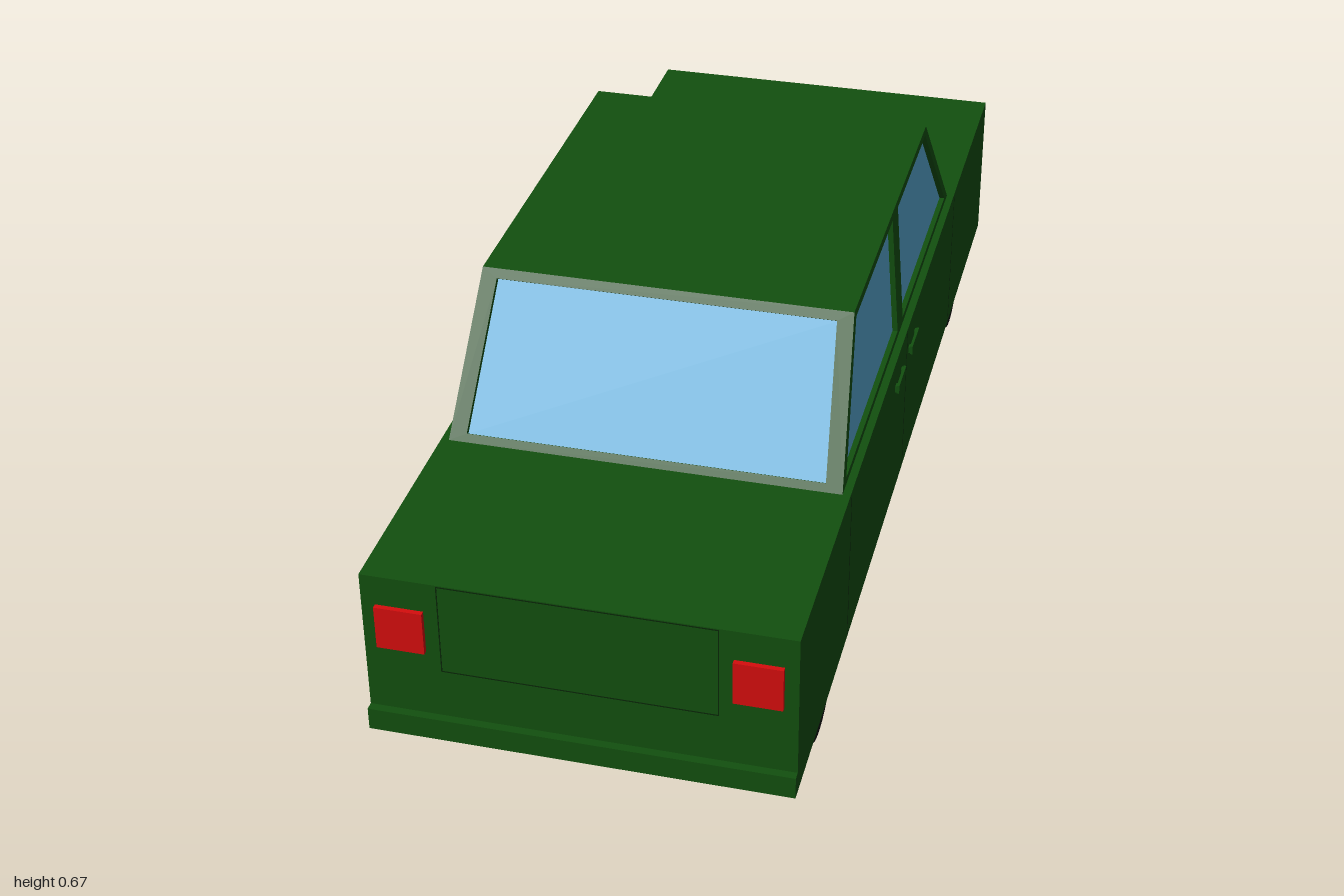
import * as THREE from 'three';

const mat = (color) => new THREE.MeshStandardMaterial({ color });
const paint = mat(0x12500f), glassMat = mat(0x5aabd6), seamMat = mat(0x082606);
const red = mat(0xd60d0d), yellow = mat(0xa39c28), rubber = mat(0x111111);

const BELT = 0.407, ROOF = 0.667;

export function createModel() {
  const car = new THREE.Group();
  car.name = 'car';

  const add = (name, geometry, material, parent = car) => {
    const mesh = new THREE.Mesh(geometry, material);
    mesh.name = name;
    parent.add(mesh);
    return mesh;
  };
  // box given by its extents on each axis
  const box = (name, material, [x0, x1], [y0, y1], [z0, z1]) => {
    const mesh = add(name, new THREE.BoxGeometry(x1 - x0, y1 - y0, z1 - z0), material);
    mesh.position.set((x0 + x1) / 2, (y0 + y1) / 2, (z0 + z1) / 2);
    return mesh;
  };

  // Lower body, bumper and roof
  box('body', paint, [-0.367, 0.367], [0.095, BELT], [-0.985, 0.985]);
  box('bumper', paint, [-0.367, 0.367], [0.095, 0.137], [0.98, 1]);
  box('roof', paint, [-0.333, 0.333], [0.655, ROOF], [-0.32, 0.41]);

  // Sloped cabin wall with inset glass; points are [horizontal, world height]
  function cabinWall(name, out, bottom, top, outer, windows) {
    const rise = ROOF - BELT;
    const stretch = Math.hypot(rise, top - bottom) / rise;
    const up = out.clone().multiplyScalar(top - bottom).setY(rise).normalize();
    const right = new THREE.Vector3(0, 1, 0).cross(out);
    const normal = right.clone().cross(up);
    const toPoints = (list) => list.map(([h, y]) => new THREE.Vector2(h, (y - BELT) * stretch));

    const wall = new THREE.Group();
    wall.name = name;
    wall.applyMatrix4(new THREE.Matrix4().makeBasis(right, up, normal));
    wall.position.copy(out).multiplyScalar(bottom).setY(BELT);
    car.add(wall);

    const shape = new THREE.Shape(toPoints(outer));
    for (const w of windows) shape.holes.push(new THREE.Path(toPoints(w)));
    const frame = new THREE.ExtrudeGeometry(shape, { depth: 0.018, bevelEnabled: false });
    add(name + 'Frame', frame.translate(0, 0, -0.018), paint, wall);
    for (const w of windows) {
      const pane = new THREE.ShapeGeometry(new THREE.Shape(toPoints(w)));
      add(name + 'Glass', pane.translate(0, 0, -0.01), glassMat, wall);
    }
  }

  // End windscreens
  const endOuter = [[-0.353, BELT], [0.353, BELT], [0.333, ROOF], [-0.333, ROOF]];
  const endGlass = [[-0.322, 0.42], [0.322, 0.42], [0.305, 0.652], [-0.305, 0.652]];
  cabinWall('frontScreen', new THREE.Vector3(0, 0, 1), 0.58, 0.41, endOuter, [endGlass]);
  cabinWall('backScreen', new THREE.Vector3(0, 0, -1), 0.53, 0.32, endOuter, [endGlass]);

  // Left and right sides, outlined along z
  const sideOuter = [[0.58, BELT], [-0.53, BELT], [-0.32, ROOF], [0.41, ROOF]];
  const sideWindows = [
    [[0.545, 0.418], [0.048, 0.418], [0.048, 0.652], [0.397, 0.652]],
    [[-0.006, 0.418], [-0.497, 0.418], [-0.308, 0.652], [-0.006, 0.652]],
  ];
  for (const s of [1, -1]) {
    const flip = (list) => list.map(([z, y]) => [-s * z, y]);
    cabinWall(s > 0 ? 'leftSide' : 'rightSide', new THREE.Vector3(s, 0, 0), 0.353, 0.333,
      flip(sideOuter), sideWindows.map(flip));
  }

  for (const s of [1, -1]) {
    const side = s > 0 ? 'left' : 'right';
    const span = (a, b) => (s > 0 ? [a, b] : [-b, -a]);

    // Lamps
    box(side + 'RedLamp', red, span(0.26, 0.343), [0.268, 0.35], [0.98, 0.994]);
    box(side + 'YellowLamp', yellow, span(0.257, 0.33), [0.275, 0.358], [-1, -0.98]);

    // Door handles: a grip on two short posts
    for (const z of [0.07, -0.073]) {
      box(side + 'Handle', paint, span(0.37, 0.375), [0.341, 0.358], [z, z + 0.073]);
      for (const p of [z, z + 0.061]) {
        box(side + 'HandlePost', paint, span(0.36, 0.372), [0.343, 0.356], [p, p + 0.012]);
      }
    }

    // Door seams
    for (const z of [0.57, 0.02, -0.54]) {
      box(side + 'DoorSeam', seamMat, span(0.36, 0.3675), [0.1, 0.405], [z - 0.0015, z + 0.0015]);
    }
    // Upright edges of the end lid
    box(side + 'LidSeam', seamMat, span(0.234, 0.236), [0.231, 0.405], [0.98, 0.9855]);

    // Wheels
    for (const z of [0.715, -0.705]) {
      const tyre = new THREE.CylinderGeometry(0.111, 0.111, 0.11, 32).rotateZ(Math.PI / 2);
      add(side + 'Wheel', tyre, rubber).position.set(s * 0.295, 0.111, z);
    }
  }
  box('lidSeamLower', seamMat, [-0.236, 0.236], [0.23, 0.232], [0.98, 0.9855]);
  box('lidSeamUpper', seamMat, [-0.236, 0.236], [0.403, 0.405], [0.98, 0.9855]);

  return car;
}
